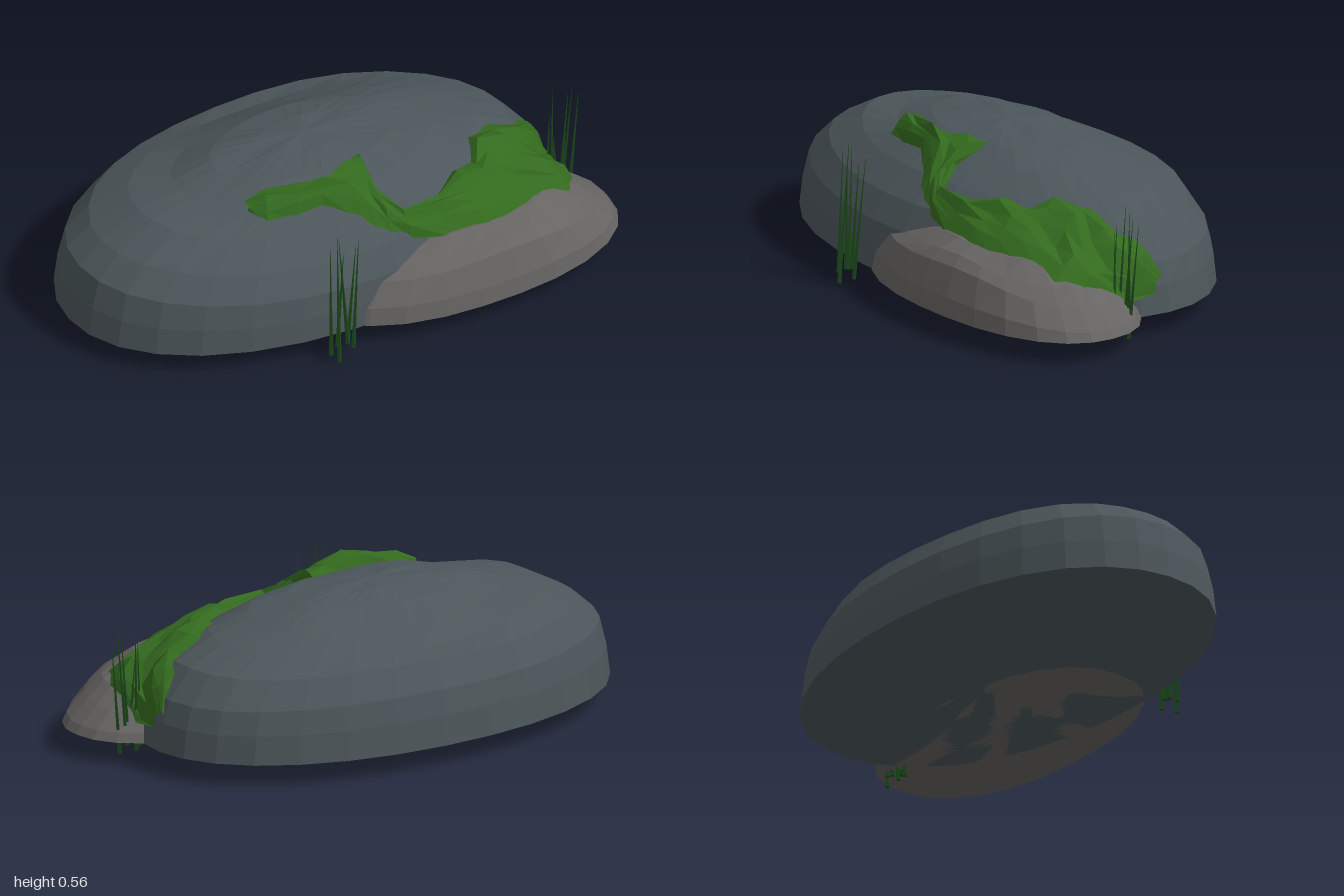
import * as THREE from 'three';

const material = (color) => new THREE.MeshStandardMaterial({ color, flatShading: true, roughness: 1, side: THREE.DoubleSide });

// A rock is a domed height field over a superellipse. Each profile lists
// heights at the given radii towards one side: right, front, left, back.
const BIG = {
  cx: -0.055, cz: -0.055, rx: 0.945, rz: 0.555, n: 2.12, wobble: 0.005,
  radii: [1, 0.985, 0.955, 0.86, 0.7, 0.53, 0.37, 0.18, 0],
  profiles: [
    [0.08, 0.18, 0.26, 0.36, 0.43, 0.485, 0.52, 0.54, 0.55],
    [0.08, 0.17, 0.25, 0.34, 0.42, 0.48, 0.52, 0.54, 0.55],
    [0.08, 0.19, 0.3, 0.38, 0.455, 0.475, 0.52, 0.54, 0.55],
    [0.08, 0.19, 0.28, 0.375, 0.4, 0.455, 0.51, 0.54, 0.55],
  ],
};
const SMALL = {
  cx: 0.38, cz: 0.28, rx: 0.62, rz: 0.33, n: 2.3, wobble: 0.008,
  radii: [1, 0.97, 0.86, 0.75, 0.55, 0.3, 0],
  profiles: [
    [0.08, 0.11, 0.17, 0.23, 0.29, 0.32, 0.33],
    [0.08, 0.15, 0.25, 0.28, 0.31, 0.32, 0.33],
    [0.08, 0.14, 0.2, 0.24, 0.29, 0.32, 0.33],
    [0.08, 0.12, 0.18, 0.23, 0.29, 0.32, 0.33],
  ],
};

// Height at normalised radius r and angle t (0 = right, PI/2 = front)
function heightAt(rock, r, t) {
  if (r >= 1) return rock.profiles[0][0];
  let i = 0;
  while (rock.radii[i + 1] > r) i++;
  const k = (rock.radii[i] - r) / (rock.radii[i] - rock.radii[i + 1]);
  const c = Math.cos(t), s = Math.sin(t);
  const sample = (p) => THREE.MathUtils.lerp(p[i], p[i + 1], k);
  const a = sample(rock.profiles[c > 0 ? 0 : 2]);
  const b = sample(rock.profiles[s > 0 ? 1 : 3]);
  const bump = rock.wobble * Math.sin(5 * t + 9 * r) * Math.min(1, 6 * r * (1 - r));
  return a * c * c + b * s * s + bump;
}

function rockY(rock, x, z) {
  const u = (x - rock.cx) / rock.rx, v = (z - rock.cz) / rock.rz;
  const r = (Math.abs(u) ** rock.n + Math.abs(v) ** rock.n) ** (1 / rock.n);
  return heightAt(rock, r, Math.atan2(v, u));
}

const groundY = (x, z) => Math.max(rockY(BIG, x, z), rockY(SMALL, x, z));

function buildGeometry(points, index) {
  const g = new THREE.BufferGeometry();
  g.setAttribute('position', new THREE.Float32BufferAttribute(points, 3));
  g.setIndex(index);
  g.computeVertexNormals();
  return g;
}

function rockGeometry(rock, sides) {
  const points = [], index = [];
  rock.radii.forEach((r, i) => {
    for (let j = 0; j < sides; j++) {
      const t = (j / sides) * Math.PI * 2;
      const c = Math.cos(t), s = Math.sin(t);
      const m = r / (Math.abs(c) ** rock.n + Math.abs(s) ** rock.n) ** (1 / rock.n);
      points.push(rock.cx + rock.rx * c * m, heightAt(rock, r, t), rock.cz + rock.rz * s * m);
      if (i === rock.radii.length - 1) continue;
      const a = i * sides + j, b = i * sides + ((j + 1) % sides);
      index.push(a, a + sides, b);
      if (i < rock.radii.length - 2) index.push(b, a + sides, b + sides);
    }
  });
  // flat underside
  const centre = points.length / 3;
  points.push(rock.cx, rock.profiles[0][0], rock.cz);
  for (let j = 0; j < sides; j++) index.push(centre, j, (j + 1) % sides);
  return buildGeometry(points, index);
}

// Moss strip draped over both rocks: [outer x, outer z, inner x, inner z, lift]
function mossGeometry() {
  const stations = [
    [-0.4, 0.17, -0.39, 0.13, 0.01], [-0.36, 0.24, -0.31, 0.12, 0.03],
    [-0.25, 0.26, -0.2, 0.17, 0.045], [-0.15, 0.26, -0.1, 0.19, 0.05],
    [-0.06, 0.32, 0.01, 0.13, 0.04], [0, 0.38, 0.08, 0.11, 0.03],
    [0.05, 0.4, 0.06, 0.25, 0.025], [0.12, 0.42, 0.11, 0.35, 0.03],
    [0.25, 0.45, 0.28, 0.32, 0.045], [0.4, 0.46, 0.38, 0.25, 0.06],
    [0.5, 0.45, 0.47, 0.22, 0.06], [0.6, 0.42, 0.51, 0.13, 0.055],
    [0.7, 0.39, 0.61, 0.07, 0.05], [0.79, 0.38, 0.71, 0.06, 0.05],
    [0.85, 0.3, 0.77, 0.01, 0.04], [0.87, 0.12, 0.82, -0.02, 0.03],
    [0.875, 0, 0.865, -0.045, 0.01],
  ];
  const rows = 6, points = [], index = [];
  stations.forEach(([ox, oz, ix, iz, lift], s) => {
    for (let j = 0; j <= rows; j++) {
      const k = j / rows;
      const x = THREE.MathUtils.lerp(ox, ix, k), z = THREE.MathUtils.lerp(oz, iz, k);
      const rough = 1 + 0.35 * Math.sin(s * 2.7 + j * 1.9);
      const edge = j === 0 || j === rows;
      points.push(x, groundY(x, z) + (edge ? -0.008 : 0.008 + lift * Math.sin(Math.PI * k) * rough), z);
      if (s === stations.length - 1 || j === rows) continue;
      const a = s * (rows + 1) + j, b = a + rows + 1;
      index.push(a, b, a + 1, b, b + 1, a + 1);
    }
  });
  return buildGeometry(points, index);
}

// Tapered three-sided blade between two points
function blade(from, to, radius, mat, name) {
  const a = new THREE.Vector3(...from), b = new THREE.Vector3(...to);
  const dir = b.clone().sub(a);
  const mesh = new THREE.Mesh(new THREE.CylinderGeometry(0.0008, radius, dir.length(), 4), mat);
  mesh.position.copy(a).add(b).multiplyScalar(0.5);
  mesh.quaternion.setFromUnitVectors(new THREE.Vector3(0, 1, 0), dir.normalize());
  mesh.name = name;
  return mesh;
}

export function createModel() {
  const model = new THREE.Group();
  const add = (name, geometry, mat) => {
    const mesh = new THREE.Mesh(geometry, mat);
    mesh.name = name;
    model.add(mesh);
  };
  const mossMat = material(0x336a1e), reedMat = material(0x1c4a1c);

  add('bigRock', rockGeometry(BIG, 30), material(0x4c565a));
  add('smallRock', rockGeometry(SMALL, 26), material(0x666462));
  add('moss', mossGeometry(), mossMat);

  // loose moss tuft poking out of the big rock
  model.add(blade([0.57, 0.41, -0.135], [0.45, 0.465, -0.09], 0.014, mossMat, 'mossTuft'));
  model.add(blade([0.56, 0.42, -0.15], [0.54, 0.43, -0.1], 0.01, mossMat, 'mossTuftSide'));

  // reed clumps: [base x, base y, base z, top x, top y, top z]
  const clumps = {
    frontReeds: [
      [-0.27, 0.03, 0.53, -0.265, 0.48, 0.515], [-0.245, 0, 0.545, -0.235, 0.52, 0.51],
      [-0.24, 0.05, 0.52, -0.22, 0.46, 0.53], [-0.205, 0.06, 0.535, -0.225, 0.5, 0.505],
      [-0.2, 0.06, 0.525, -0.165, 0.46, 0.52], [-0.18, 0.03, 0.53, -0.145, 0.48, 0.505],
    ],
    sideReeds: [
      [0.82, 0.04, 0.15, 0.84, 0.43, 0.14], [0.845, 0.03, 0.14, 0.865, 0.5, 0.12],
      [0.86, 0.06, 0.165, 0.84, 0.4, 0.15], [0.88, 0.06, 0.14, 0.92, 0.47, 0.13],
      [0.895, 0.06, 0.13, 0.925, 0.5, 0.15], [0.915, 0.03, 0.145, 0.96, 0.46, 0.135],
    ],
  };
  for (const [name, reeds] of Object.entries(clumps)) {
    const group = new THREE.Group();
    group.name = name;
    for (const r of reeds) group.add(blade(r.slice(0, 3), r.slice(3), 0.009, reedMat, 'reed'));
    model.add(group);
  }
  return model;
}
